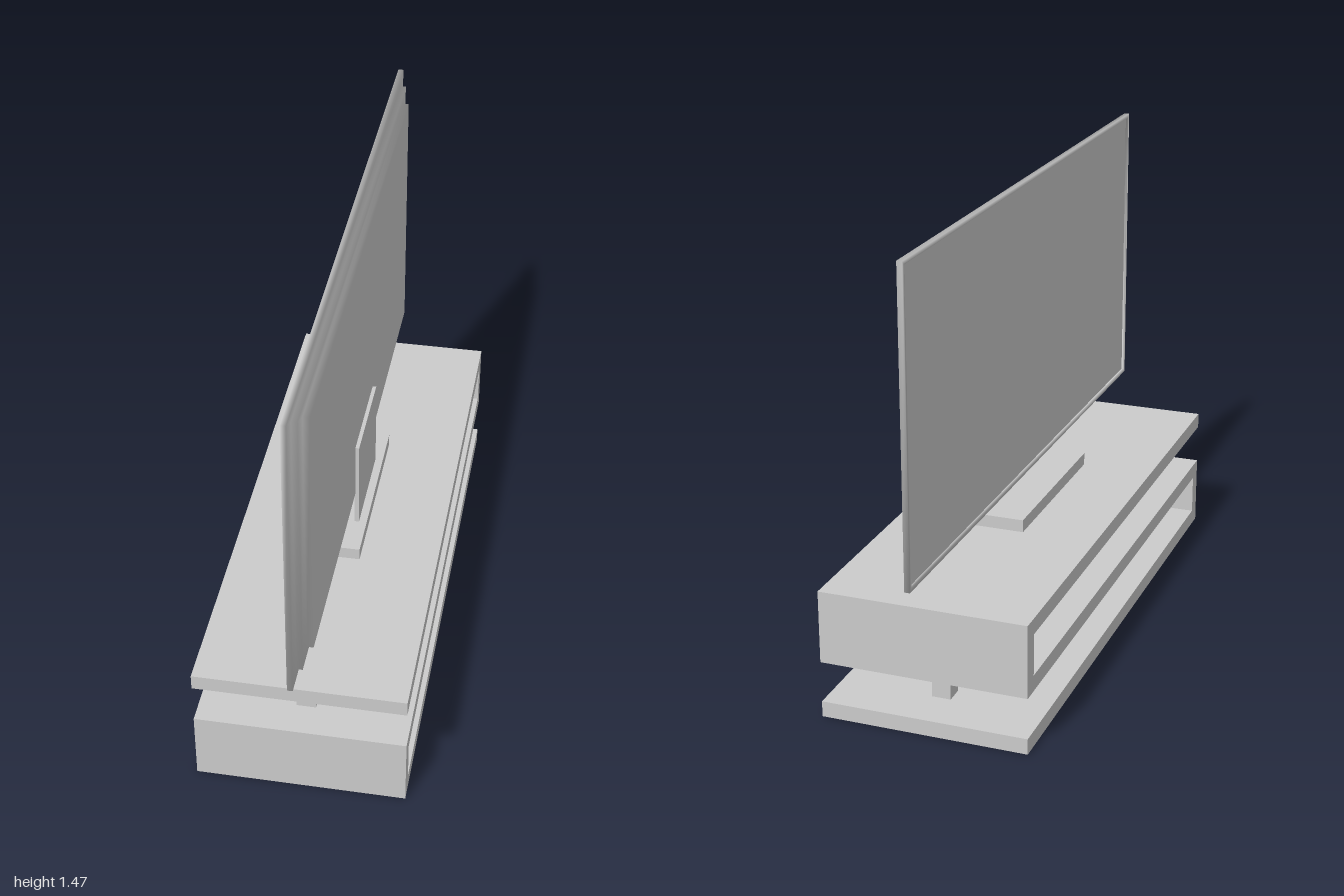
import * as THREE from 'three';

const material = new THREE.MeshStandardMaterial({ color: 0xcccccc });

function addMesh(group, name, geometry) {
  const mesh = new THREE.Mesh(geometry, material);
  mesh.name = name;
  group.add(mesh);
  return mesh;
}

// Box given by its [min, max] along each axis
function addBox(group, name, [x0, x1], [y0, y1], [z0, z1]) {
  addMesh(group, name, new THREE.BoxGeometry(x1 - x0, y1 - y0, z1 - z0))
    .position.set((x0 + x1) / 2, (y0 + y1) / 2, (z0 + z1) / 2);
}

// Rectangular loops [x, half width, bottom, top] joined with shared, smooth vertices
function steppedPanel(loops) {
  const positions = [], index = [];
  for (const [x, w, lo, hi] of loops) {
    positions.push(x, lo, -w, x, lo, w, x, hi, w, x, hi, -w);
  }
  for (let i = 0; i < loops.length - 1; i++) {
    for (let k = 0; k < 4; k++) {
      const a = i * 4 + k, b = i * 4 + (k + 1) % 4;
      index.push(a, b + 4, b, a, a + 4, b + 4);
    }
  }
  const e = (loops.length - 1) * 4;
  index.push(e, e + 3, e + 1, e + 1, e + 3, e + 2);
  const geometry = new THREE.BufferGeometry();
  geometry.setAttribute('position', new THREE.Float32BufferAttribute(positions, 3));
  geometry.setIndex(index);
  geometry.computeVertexNormals();
  return geometry;
}

export function createModel() {
  const model = new THREE.Group();
  model.name = 'televisionOnStand';

  // S-shaped cabinet: one folded board, outlined in (z, y) and extruded along x
  const outline = [
    [-0.9, 0], [0.9, 0], [0.9, 0.23], [-0.85, 0.23], [-0.85, 0.36], [0.9, 0.36],
    [0.9, 0.41], [-0.9, 0.41], [-0.9, 0.18], [0.85, 0.18], [0.85, 0.05], [-0.9, 0.05],
  ].map(([z, y]) => new THREE.Vector2(z, y));
  outline[0].set(-0.9, 0);
  const depth = 0.65;
  const board = new THREE.ExtrudeGeometry(new THREE.Shape(outline), { depth, bevelEnabled: false });
  board.translate(0, 0, -depth / 2).rotateY(-Math.PI / 2);
  addMesh(model, 'foldedCabinet', board);

  // Small posts at the open ends
  addBox(model, 'upperPost', [-0.03, 0.03], [0.23, 0.35], [0.73, 0.79]);
  addBox(model, 'lowerPost', [-0.03, 0.03], [0.05, 0.18], [-0.76, -0.7]);

  // Television: foot and neck
  const television = new THREE.Group();
  television.name = 'television';
  model.add(television);
  addBox(television, 'foot', [-0.09, 0.08], [0.41, 0.45], [-0.3, 0.3]);
  addBox(television, 'neck', [0.041, 0.055], [0.45, 0.75], [-0.165, 0.165]);

  // Thin front bezel followed by the stepped back of the housing
  addMesh(television, 'housing', steppedPanel([
    [-0.004, 0.988, 0.517, 1.453],
    [-0.012, 0.988, 0.517, 1.453],
    [-0.012, 1, 0.505, 1.465],
    [0.005, 1, 0.505, 1.465],
    [0.005, 0.94, 0.535, 1.435],
    [0.023, 0.94, 0.535, 1.435],
    [0.023, 0.875, 0.565, 1.405],
    [0.043, 0.875, 0.565, 1.405],
  ]));

  // Screen set back inside the bezel, facing -x
  const screen = addMesh(television, 'screen', new THREE.PlaneGeometry(1.976, 0.936));
  screen.rotation.y = -Math.PI / 2;
  screen.position.set(-0.004, 0.985, 0);

  return model;
}
